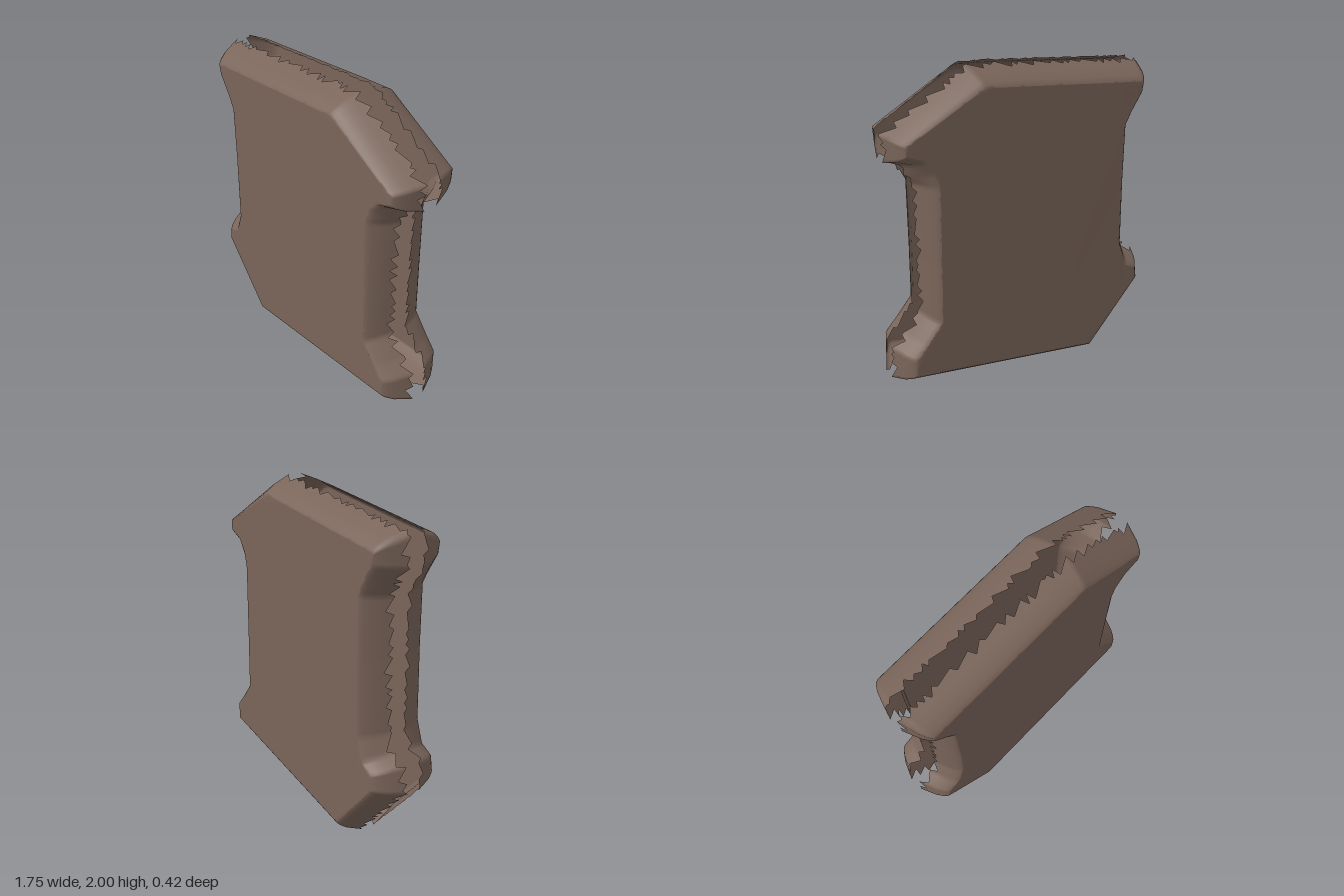
import * as THREE from 'three';

// Matching corners, counter-clockwise: rim x, rim y, face x, face y
const CORNERS = [
  [-0.47, 0, -0.44, 0.1], [0.87, 0.2, 0.77, 0.27], [0.86, 0.4, 0.77, 0.37],
  [0.775, 0.48, 0.7, 0.45], [0.68, 0.6, 0.6, 0.57], [0.675, 0.92, 0.59, 0.95],
  [0.675, 1.39, 0.58, 1.4], [0.72, 1.45, 0.6, 1.49], [0.74, 1.51, 0.66, 1.57],
  [0.83, 1.54, 0.76, 1.61], [0.84, 1.7, 0.76, 1.66], [0.33, 2, 0.3, 1.905],
  [0.15, 1.99, 0.15, 1.89], [-0.79, 1.9, -0.73, 1.8], [-0.82, 1.87, -0.74, 1.79],
  [-0.82, 1.71, -0.73, 1.74], [-0.75, 1.6, -0.66, 1.63], [-0.71, 1.54, -0.62, 1.55],
  [-0.71, 1.2, -0.62, 1.2], [-0.72, 0.76, -0.63, 0.75], [-0.765, 0.66, -0.68, 0.61],
  [-0.86, 0.62, -0.76, 0.57], [-0.875, 0.46, -0.775, 0.49],
];

// Rounded bevel: fraction of the way from rim to face, and depth
const BEVEL = [[0.25, 0.1], [0.45, 0.147], [0.72, 0.187], [0.88, 0.204], [1, 0.21]];

function seeded(seed) {
  return () => (seed = (seed * 16807) % 2147483647) / 2147483647;
}

// Fine outline samples, each with a sawtooth height for the ragged rim
function sampleOutline(random) {
  const samples = [];
  CORNERS.forEach((a, n) => {
    const b = CORNERS[(n + 1) % CORNERS.length];
    const steps = Math.max(2, Math.round(Math.hypot(b[0] - a[0], b[1] - a[1]) / 0.02));
    let tooth = 0, length = 4, height = 1;
    for (let i = 0; i < steps; i++) {
      samples.push({
        p: a.map((v, k) => v + (b[k] - v) * i / steps),
        saw: height * tooth / length,
      });
      if (++tooth > length) {
        tooth = 0;
        length = 1 + Math.floor(random() * 5);
        height = 0.4 + random() * 0.6;
      }
    }
  });
  return samples;
}

// Open shell: flat face, rounded bevel and ragged rim; side is +1 front, -1 back
function shellGeometry(side) {
  const samples = sampleOutline(seeded(side > 0 ? 71 : 523));
  const count = samples.length;
  const positions = [], index = [];
  const tri = (a, b, c) => (side > 0 ? index.push(a, b, c) : index.push(a, c, b));
  const add = ([ox, oy, ix, iy], t, z) =>
    positions.push(ox + (ix - ox) * t, oy + (iy - oy) * t, z * side);

  samples.forEach(({ p, saw }) => add(p, 0.18 * saw, 0.04 + 0.045 * saw));
  BEVEL.forEach(([t, z]) => samples.forEach(({ p }) => add(p, t, z)));

  for (let r = 0; r < BEVEL.length; r++) {
    for (let i = 0; i < count; i++) {
      const j = (i + 1) % count;
      const a = r * count + i, b = r * count + j;
      tri(a, b, b + count);
      tri(a, b + count, a + count);
    }
  }

  // Flat face
  const base = BEVEL.length * count;
  const contour = samples.map(({ p }) => new THREE.Vector2(p[2], p[3]));
  THREE.ShapeUtils.triangulateShape(contour, [])
    .forEach(([a, b, c]) => tri(base + a, base + b, base + c));

  const geometry = new THREE.BufferGeometry();
  geometry.setAttribute('position', new THREE.Float32BufferAttribute(positions, 3));
  geometry.setIndex(index);
  geometry.computeVertexNormals();
  return geometry;
}

export function createModel() {
  const brown = new THREE.MeshStandardMaterial({ color: 0x7a655a, side: THREE.DoubleSide });
  brown.name = 'dull brown';
  const model = new THREE.Group();
  model.name = 'splitPlate';
  for (const [name, side] of [['frontShell', 1], ['backShell', -1]]) {
    const shell = new THREE.Mesh(shellGeometry(side), brown);
    shell.name = name;
    model.add(shell);
  }
  return model;
}
